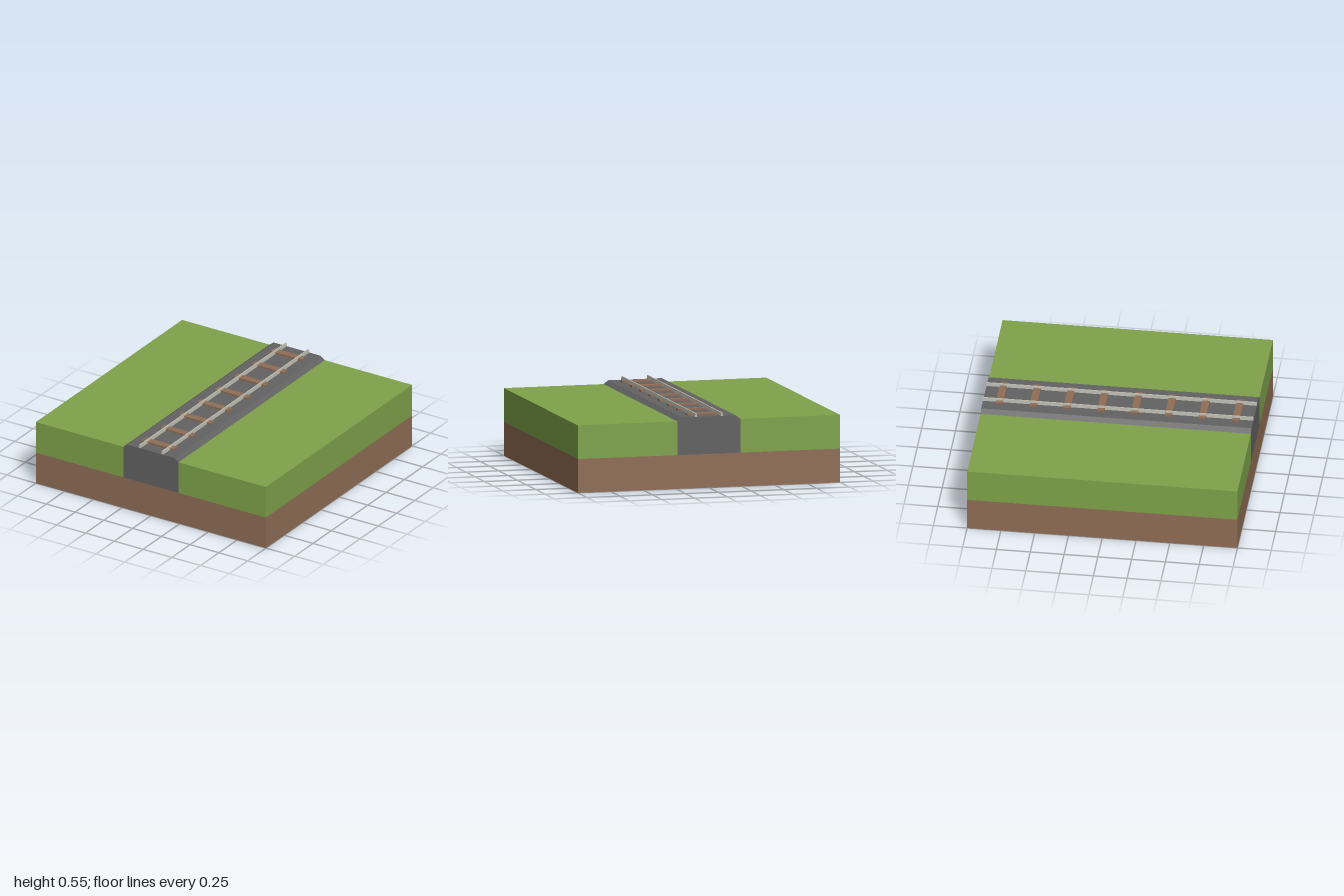
import * as THREE from 'three';

const material = (name, color) =>
  new THREE.MeshStandardMaterial({ name, color, side: THREE.DoubleSide, flatShading: true });

export function createModel() {
  const grass = material('grass green', 0x7fa24a);
  const earth = material('earth brown', 0x8f6d55);
  const gravel = material('gravel grey', 0x626262);
  const steel = material('rail steel', 0xb8b8ae);

  const model = new THREE.Group();
  model.name = 'railwayTile';

  const add = (name, geometry, mat, x = 0, y = 0, z = 0, rotX = 0, rotY = 0) => {
    const mesh = new THREE.Mesh(geometry, mat);
    mesh.name = name;
    mesh.position.set(x, y, z);
    mesh.rotation.set(rotX, rotY, 0);
    model.add(mesh);
    return mesh;
  };

  const HALF = 1, BED = 0.24, CREST = 0.205;
  const SOIL_TOP = 0.25, GRASS_TOP = 0.5, BED_TOP = 0.527;
  const grassWidth = HALF - BED, grassMid = (HALF + BED) / 2;
  const grassHeight = GRASS_TOP - SOIL_TOP, grassY = (GRASS_TOP + SOIL_TOP) / 2;

  // Cross-section of the track bed, also used for its end walls
  const bedShape = new THREE.Shape([
    [-BED, SOIL_TOP], [BED, SOIL_TOP], [BED, GRASS_TOP],
    [CREST, BED_TOP], [-CREST, BED_TOP], [-BED, GRASS_TOP],
  ].map(([x, y]) => new THREE.Vector2(x, y)));

  // Hollow tile, open underneath: four walls in layers
  for (const s of [1, -1]) {
    const turn = s > 0 ? 0 : Math.PI;
    add('earthEndWall', new THREE.PlaneGeometry(2, SOIL_TOP), earth, 0, SOIL_TOP / 2, s, 0, turn);
    add('earthSideWall', new THREE.PlaneGeometry(2, SOIL_TOP), earth, s, SOIL_TOP / 2, 0, 0, s * Math.PI / 2);
    add('grassSideWall', new THREE.PlaneGeometry(2, grassHeight), grass, s, grassY, 0, 0, s * Math.PI / 2);
    add('bedEndWall', new THREE.ShapeGeometry(bedShape), gravel, 0, 0, s, 0, turn);
    for (const side of [1, -1])
      add('grassEndWall', new THREE.PlaneGeometry(grassWidth, grassHeight), grass,
        side * grassMid, grassY, s, 0, turn);
    add('grassTop', new THREE.PlaneGeometry(grassWidth, 2), grass, s * grassMid, GRASS_TOP, 0, -Math.PI / 2);
  }

  // Raised gravel surface: a flat crest with sloping shoulders
  const bedTop = new THREE.PlaneGeometry(2, 2, 3, 1).rotateX(-Math.PI / 2);
  const xs = [-BED, -CREST, CREST, BED];
  const p = bedTop.attributes.position;
  for (let i = 0; i < p.count; i++) {
    const column = i % 4;
    p.setX(i, xs[column]);
    p.setY(i, column === 0 || column === 3 ? GRASS_TOP : BED_TOP);
  }
  bedTop.computeVertexNormals();
  add('trackBed', bedTop, gravel);

  // Wooden sleepers, slightly sunk into the gravel
  const sleeper = new THREE.BoxGeometry(0.275, 0.02, 0.055);
  for (let i = 0; i < 8; i++) add('sleeper', sleeper, earth, 0, 0.53, -0.875 + i * 0.25);

  // Tapered steel rails running the full length
  const railShape = new THREE.Shape([
    [-0.009, 0.528], [0.009, 0.528], [0.005, 0.553], [-0.005, 0.553],
  ].map(([x, y]) => new THREE.Vector2(x, y)));
  const rail = new THREE.ExtrudeGeometry(railShape, { depth: 2, bevelEnabled: false }).translate(0, 0, -1);
  for (const s of [1, -1]) add(s > 0 ? 'leftRail' : 'rightRail', rail, steel, s * 0.098);

  return model;
}
